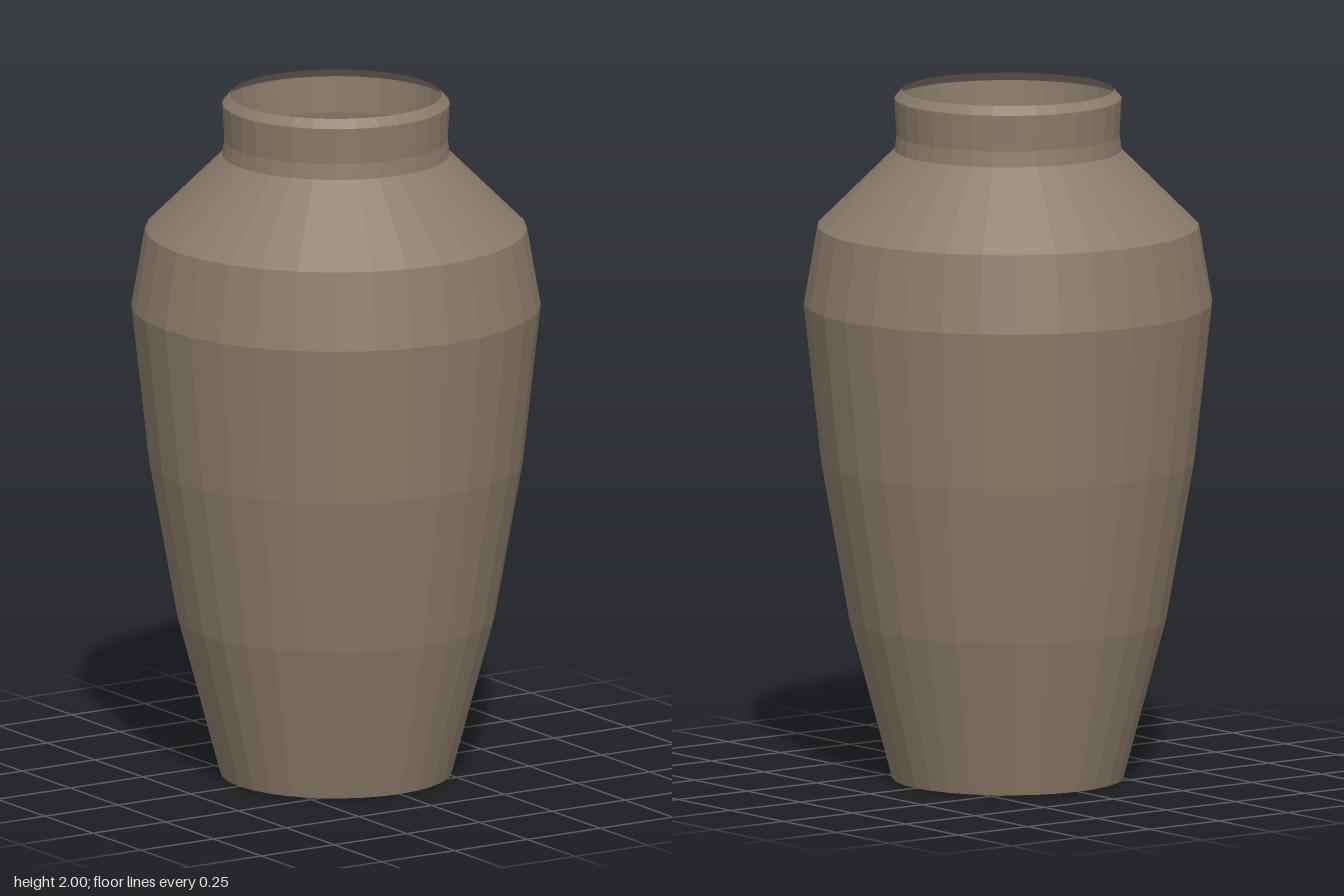
import * as THREE from 'three';

const SIDES = 32;

export function createModel() {
  const group = new THREE.Group();
  group.name = 'vase';

  const clay = new THREE.MeshStandardMaterial({ color: 0x8b7c6a, flatShading: true, side: THREE.DoubleSide });
  clay.name = 'brown clay';

  // Each part is a thin faceted wall turned from [radius, height] points
  const turn = (name, profile) => {
    const points = profile.map(([r, y]) => new THREE.Vector2(r, y));
    const mesh = new THREE.Mesh(new THREE.LatheGeometry(points, SIDES), clay);
    mesh.name = name;
    group.add(mesh);
  };

  // Tapering belly
  turn('body', [[0.333, 0], [0.456, 0.46], [0.537, 0.92], [0.588, 1.38], [0.549, 1.605]]);
  // Sloping shoulder
  turn('shoulder', [[0.549, 1.605], [0.327, 1.825]]);
  // Slightly waisted neck
  turn('neck', [[0.327, 1.825], [0.321, 1.87], [0.327, 1.975]]);
  // Inward bevel round the open mouth
  turn('rim', [[0.327, 1.975], [0.305, 2]]);

  // Closed floor, seen from inside and below
  const base = new THREE.Mesh(new THREE.CircleGeometry(0.333, SIDES).rotateX(Math.PI / 2), clay);
  base.name = 'base';
  group.add(base);

  return group;
}
